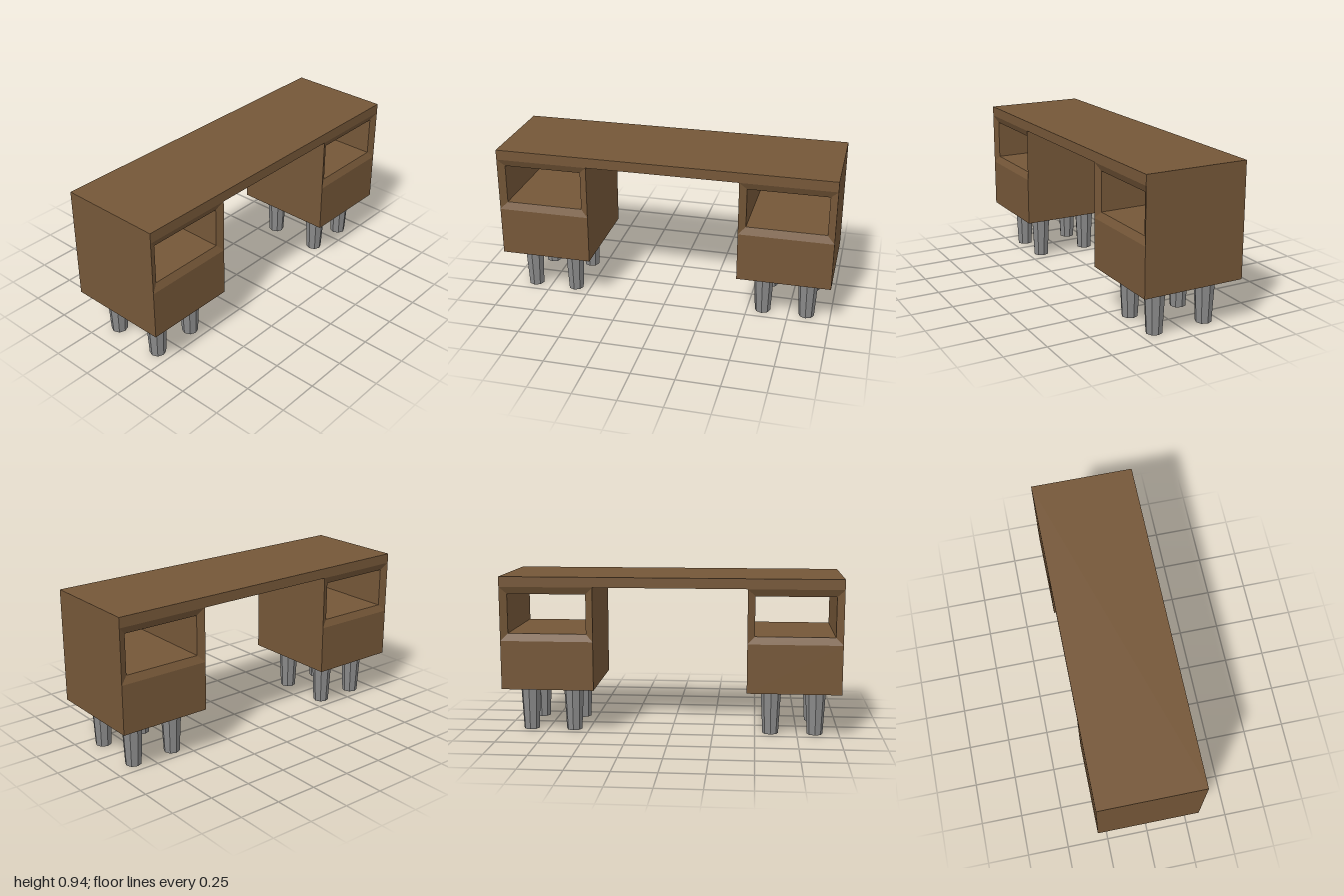
import * as THREE from 'three';

// Rectangle corners, counter-clockwise seen from +z
const rect = (w, h, cy, z, inset = 0) => {
  const x = w / 2 - inset, y = h / 2 - inset;
  return [[-x, cy - y, z], [x, cy - y, z], [x, cy + y, z], [-x, cy + y, z]];
};

// Flat-faced skin through four-cornered rings, with an optional cap on the last
function loft(rings, cap) {
  const pos = [];
  const quad = (a, b, c, d) => pos.push(...a, ...b, ...c, ...a, ...c, ...d);
  for (let r = 0; r < rings.length - 1; r++) {
    const a = rings[r], b = rings[r + 1];
    for (let i = 0; i < 4; i++) {
      const j = (i + 1) % 4;
      quad(a[i], a[j], b[j], b[i]);
    }
  }
  if (cap) quad(...rings[rings.length - 1]);
  const g = new THREE.BufferGeometry();
  g.setAttribute('position', new THREE.Float32BufferAttribute(pos, 3));
  g.computeVertexNormals();
  return g;
}

export function createModel() {
  const wood = new THREE.MeshStandardMaterial({ color: 0x755738 });
  wood.name = 'brown wood';
  const metal = new THREE.MeshStandardMaterial({ color: 0x8a8a8a });
  metal.name = 'grey metal';

  const desk = new THREE.Group();
  desk.name = 'desk';
  const add = (parent, name, geometry, material) => {
    const mesh = new THREE.Mesh(geometry, material);
    mesh.name = name;
    parent.add(mesh);
    return mesh;
  };

  const depth = 0.616, half = depth / 2;
  const width = 0.55, bevel = 0.02, rim = 0.043;
  const topUnder = 0.88, shelf = 0.56, base = 0.27;

  // Table top
  add(desk, 'tableTop', new THREE.BoxGeometry(2, 0.06, depth), wood).position.y = topUnder + 0.03;

  // Open compartment with a bevelled rim at front and back
  const h = topUnder - shelf, cy = (topUnder + shelf) / 2;
  const compartment = loft([
    rect(width, h, cy, -half),
    rect(width, h, cy, half),
    rect(width, h, cy, half - bevel, rim),
    rect(width, h, cy, -half + bevel, rim),
    rect(width, h, cy, -half),
  ]);

  // Closed lower block with a bevelled recess underneath
  const block = loft([
    rect(width, depth, 0, -shelf),
    rect(width, depth, 0, -base),
    rect(width, depth, 0, -base - bevel, rim),
  ], true).rotateX(Math.PI / 2);

  // Tapered eight-sided legs
  const legHeight = base + bevel;
  const leg = new THREE.CylinderGeometry(0.062, 0.047, legHeight, 8).toNonIndexed();
  leg.computeVertexNormals();

  for (const side of [-1, 1]) {
    const pedestal = new THREE.Group();
    pedestal.name = side > 0 ? 'leftPedestal' : 'rightPedestal';
    pedestal.position.x = side * (1 - width / 2);
    add(pedestal, 'openCompartment', compartment, wood);
    add(pedestal, 'lowerBlock', block, wood);
    for (const x of [-1, 1]) for (const z of [-1, 1]) {
      add(pedestal, z > 0 ? 'frontLeg' : 'backLeg', leg, metal)
        .position.set(x * 0.132, legHeight / 2, z * 0.161);
    }
    desk.add(pedestal);
  }
  return desk;
}
